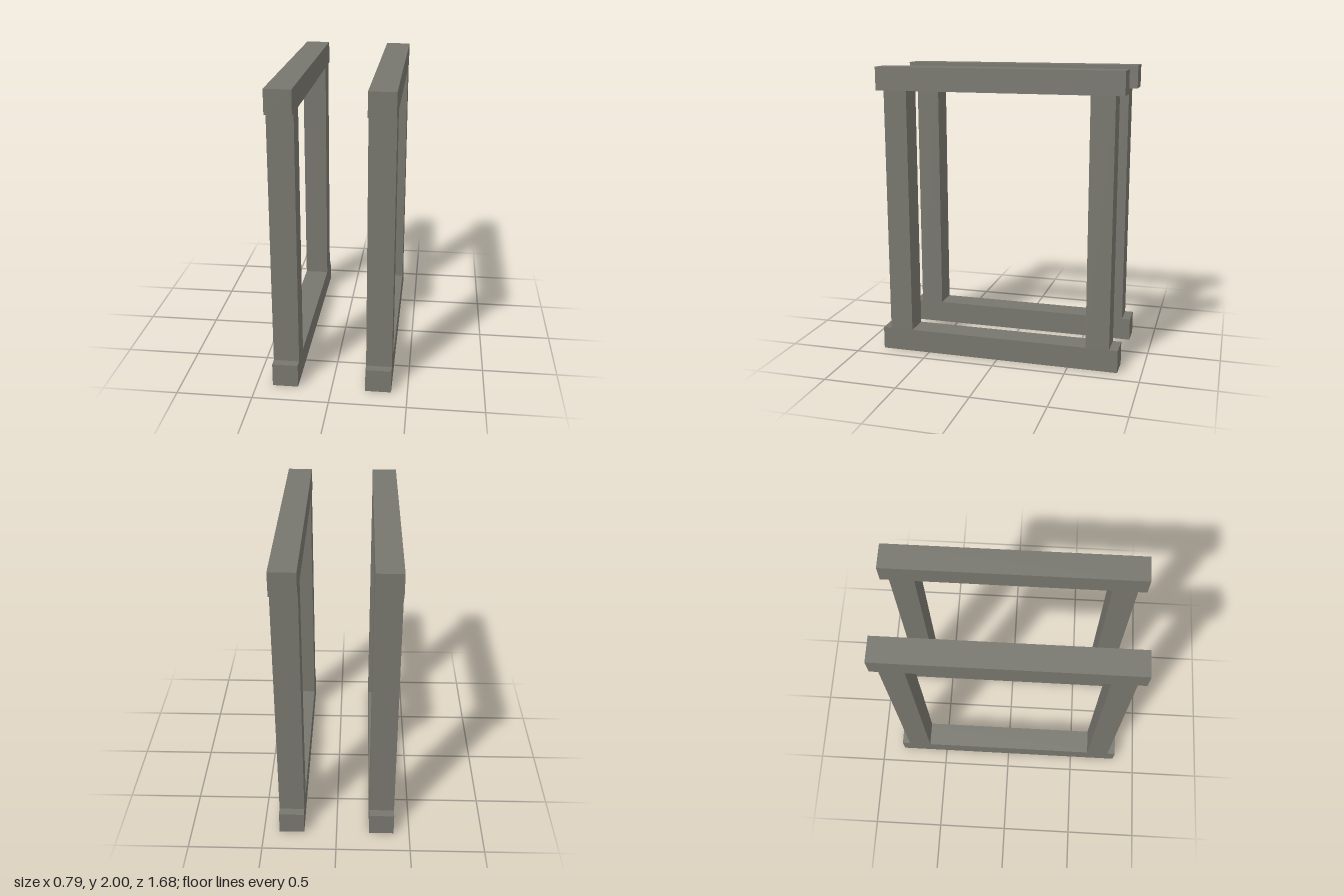
import * as THREE from 'three';

const WIDTH = 0.17, RAIL_H = 0.157, RAIL_L = 1.68, POST_D = 0.16, HEIGHT = 2;

export function createModel() {
  const model = new THREE.Group();
  model.name = 'pairedFrames';
  const grey = new THREE.MeshStandardMaterial({ color: 0x77766e });
  grey.name = 'warm grey';

  const railGeometry = new THREE.BoxGeometry(WIDTH, RAIL_H, RAIL_L);
  const postGeometry = new THREE.BoxGeometry(WIDTH, HEIGHT - 2 * RAIL_H, POST_D);

  const add = (parent, name, geometry, y, z) => {
    const mesh = new THREE.Mesh(geometry, grey);
    mesh.name = name;
    mesh.position.set(0, y, z);
    parent.add(mesh);
  };

  // Two identical upright frames, one on each side
  for (const [side, x] of [['left', 0.308], ['right', -0.308]]) {
    const frame = new THREE.Group();
    frame.name = side + 'Frame';
    frame.position.x = x;

    // Rails overhang the posts at both ends
    add(frame, 'bottomRail', railGeometry, RAIL_H / 2, 0);
    add(frame, 'topRail', railGeometry, HEIGHT - RAIL_H / 2, 0);

    // Posts between the rails
    add(frame, 'frontPost', postGeometry, HEIGHT / 2, 0.702);
    add(frame, 'backPost', postGeometry, HEIGHT / 2, -0.702);
    model.add(frame);
  }
  return model;
}
